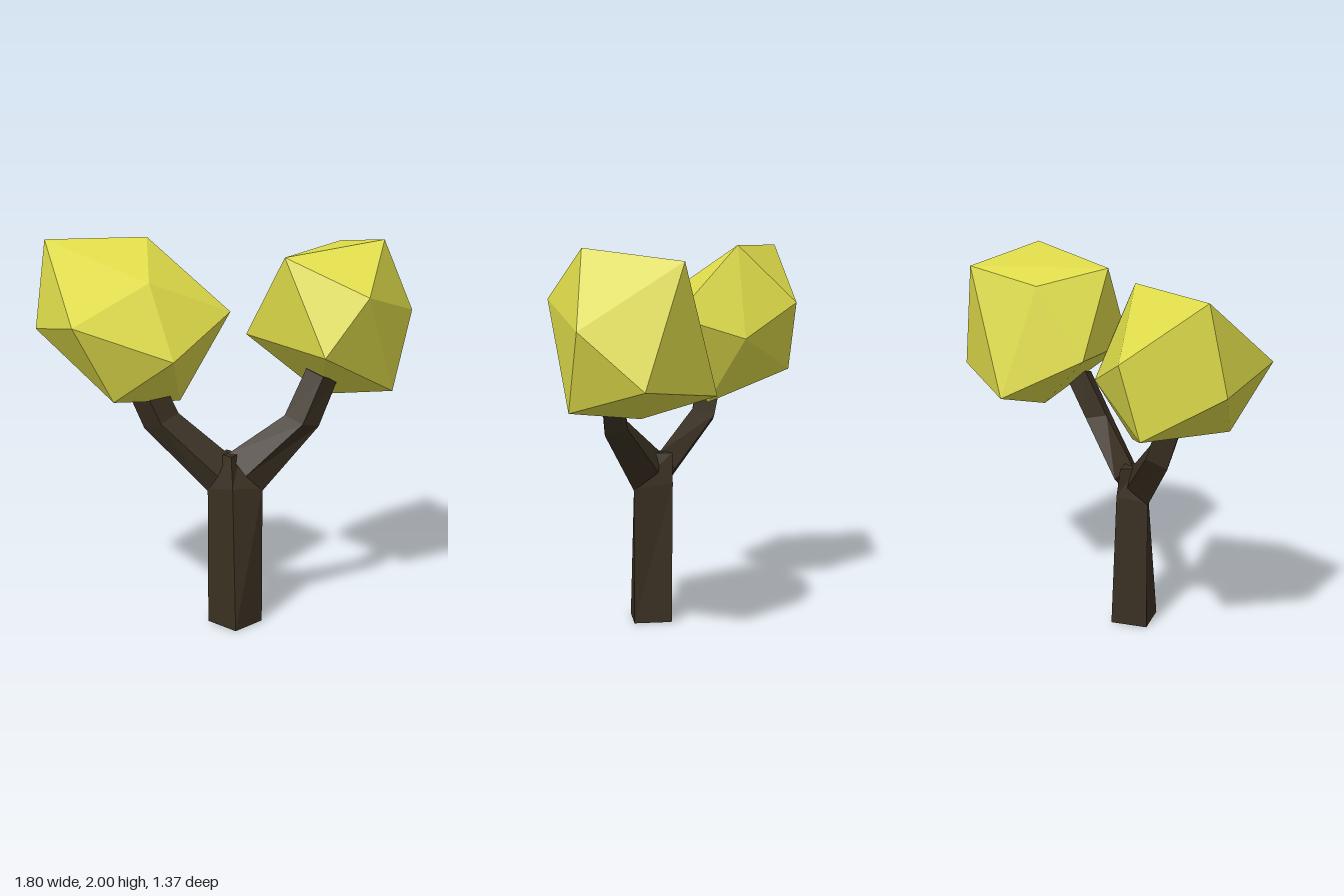
import * as THREE from 'three';
import { ConvexGeometry } from 'three/addons/geometries/ConvexGeometry.js';

const bark = new THREE.MeshStandardMaterial({ color: 0x3a3022, flatShading: true });
const leaf = new THREE.MeshStandardMaterial({ color: 0xdedb4a, flatShading: true });

// Skin a stack of four-cornered rings, with a cap at each end
function loft(rings) {
  const pos = [];
  const quad = (a, b, c, d) => [a, b, c, a, c, d].forEach((p) => pos.push(...p));
  for (let k = 0; k < rings.length - 1; k++) {
    for (let i = 0; i < 4; i++) {
      const j = (i + 1) % 4;
      quad(rings[k][i], rings[k][j], rings[k + 1][j], rings[k + 1][i]);
    }
  }
  quad(...rings[rings.length - 1]);
  quad(...[...rings[0]].reverse());
  const geo = new THREE.BufferGeometry();
  geo.setAttribute('position', new THREE.Float32BufferAttribute(pos, 3));
  geo.computeVertexNormals();
  return geo;
}

// Diamond section of a branch from its outer and inner corner
function section([outer, inner], side) {
  const mid = outer.map((v, i) => (v + inner[i]) / 2);
  const w = 0.055 * side;
  return [outer, [mid[0] + w, mid[1], mid[2] - w], inner, [mid[0] - w, mid[1], mid[2] + w]];
}

export function createModel() {
  const group = new THREE.Group();
  const add = (name, geo, mat) => {
    const mesh = new THREE.Mesh(geo, mat);
    mesh.name = name;
    group.add(mesh);
  };

  // Trunk: square foot, narrowing across the fork, small top
  add('trunk', loft([
    [[-0.02, 0, 0.23], [-0.02, 0, 0.03], [-0.22, 0, 0.03], [-0.22, 0, 0.23]],
    [[-0.02, 0.73, 0.23], [-0.05, 0.75, 0.02], [-0.22, 0.73, 0.03], [-0.18, 0.75, 0.17]],
    [[-0.07, 0.91, 0.12], [-0.07, 0.91, 0.02], [-0.15, 0.91, 0.05], [-0.16, 0.91, 0.14]],
  ]), bark);

  // Branches: outer and inner corner at fork, bend and tip
  const rightPath = [
    [[-0.22, 0.72, 0.03], [-0.12, 0.91, 0.08]],
    [[-0.4, 1.04, -0.25], [-0.28, 1.12, -0.12]],
    [[-0.48, 1.28, -0.31], [-0.36, 1.34, -0.18]],
  ];
  const leftPath = [
    [[-0.02, 0.72, 0.23], [-0.12, 0.91, 0.08]],
    [[0.22, 1.05, 0.4], [0.09, 1.11, 0.28]],
    [[0.34, 1.28, 0.42], [0.22, 1.34, 0.31]],
  ];
  add('rightBranch', loft(rightPath.map((p) => section(p, -1))), bark);
  add('leftBranch', loft(leftPath.map((p) => section(p, 1))), bark);

  // Foliage: irregular twenty-sided clumps from twelve corners each
  const clump = (corners) => new ConvexGeometry(corners.map((c) => new THREE.Vector3(...c)));
  add('rightFoliage', clump([
    [-0.26, 2.0, -0.36], [-0.69, 2.0, -0.65], [-0.47, 1.81, -0.12], [-0.03, 1.63, 0.01],
    [-0.06, 1.51, -0.37], [-0.28, 1.69, -0.69], [-0.9, 1.63, -0.2], [-0.52, 1.45, 0.1],
    [-0.78, 1.56, -0.63], [-0.2, 1.16, -0.19], [-0.69, 1.24, -0.15], [-0.38, 1.32, -0.67],
  ]), leaf);
  add('leftFoliage', clump([
    [0.56, 1.99, 0.53], [0.77, 1.93, 0.07], [0.08, 1.92, 0.28], [0.26, 1.74, 0.68],
    [0.76, 1.61, 0.57], [0.9, 1.34, 0.27], [0.57, 1.21, 0.6], [0.06, 1.45, 0.57],
    [0.43, 1.16, 0.24], [0.54, 1.28, -0.12], [0.38, 1.86, 0.01], [0.12, 1.49, -0.02],
  ]), leaf);

  return group;
}
